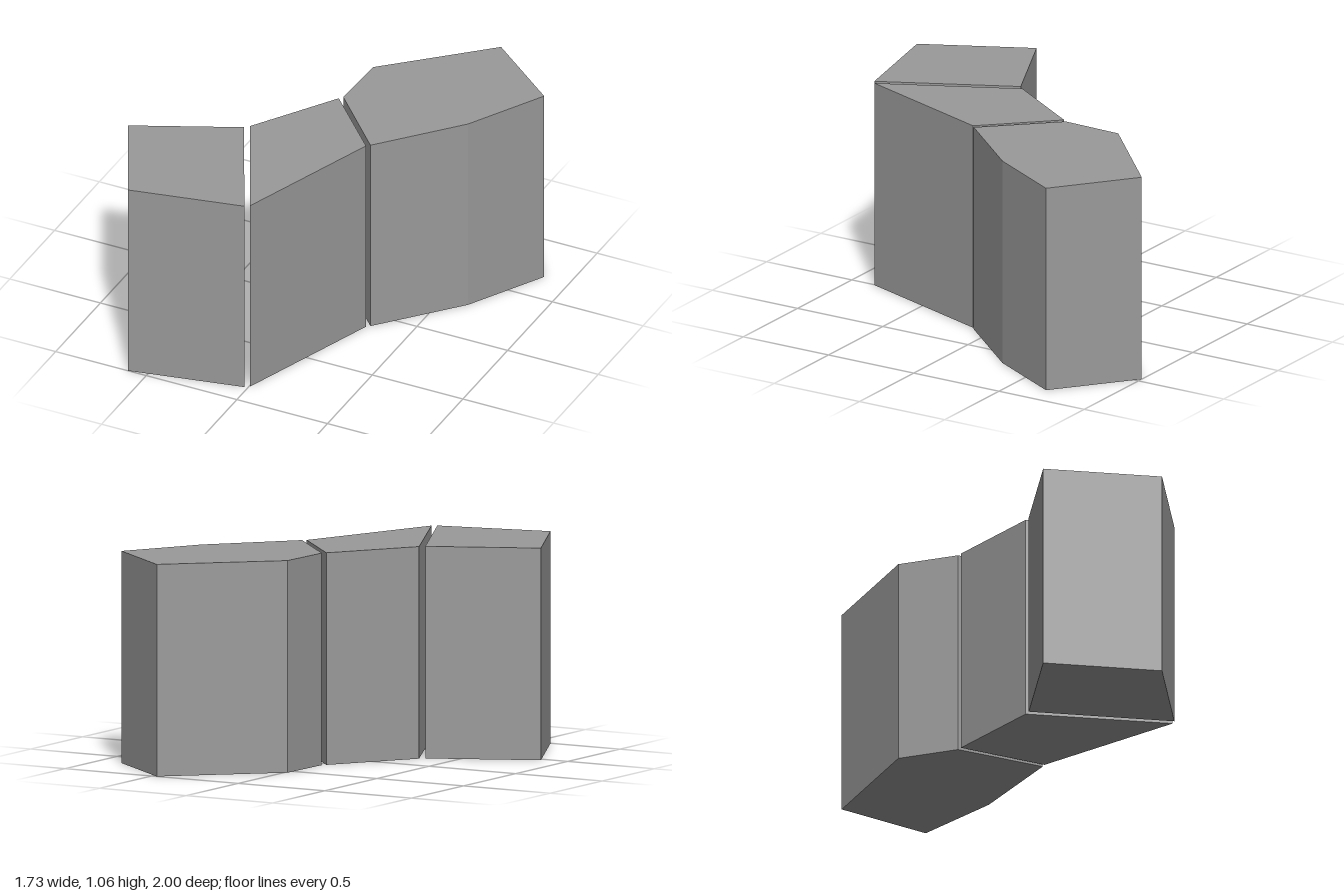
import * as THREE from 'three';

const HEIGHT = 1.06;

// Footprints as [x, z] corners seen from above
const BLOCKS = {
  frontBlock: [[-0.865, 0.467], [-0.342, 0.227], [-0.018, 0.88], [-0.6, 1]],
  middleBlock: [[-0.04, -0.22], [0.275, 0.114], [0.005, 0.864], [-0.32, 0.204]],
  backBlock: [[0.47, -1], [0.862, -0.688], [0.638, -0.29], [0.292, 0.099], [-0.025, -0.24], [-0.015, -0.553]],
};

// Upright prism over a footprint, standing on y = 0
function prism(footprint) {
  const shape = new THREE.Shape(footprint.map(([x, z]) => new THREE.Vector2(x, -z)));
  const geometry = new THREE.ExtrudeGeometry(shape, { depth: HEIGHT, bevelEnabled: false });
  return geometry.rotateX(-Math.PI / 2);
}

export function createModel() {
  const group = new THREE.Group();
  group.name = 'angledBlocks';
  const material = new THREE.MeshStandardMaterial({ color: 0x9a9a9a, flatShading: true });
  for (const [name, footprint] of Object.entries(BLOCKS)) {
    const block = new THREE.Mesh(prism(footprint), material);
    block.name = name;
    group.add(block);
  }
  return group;
}
